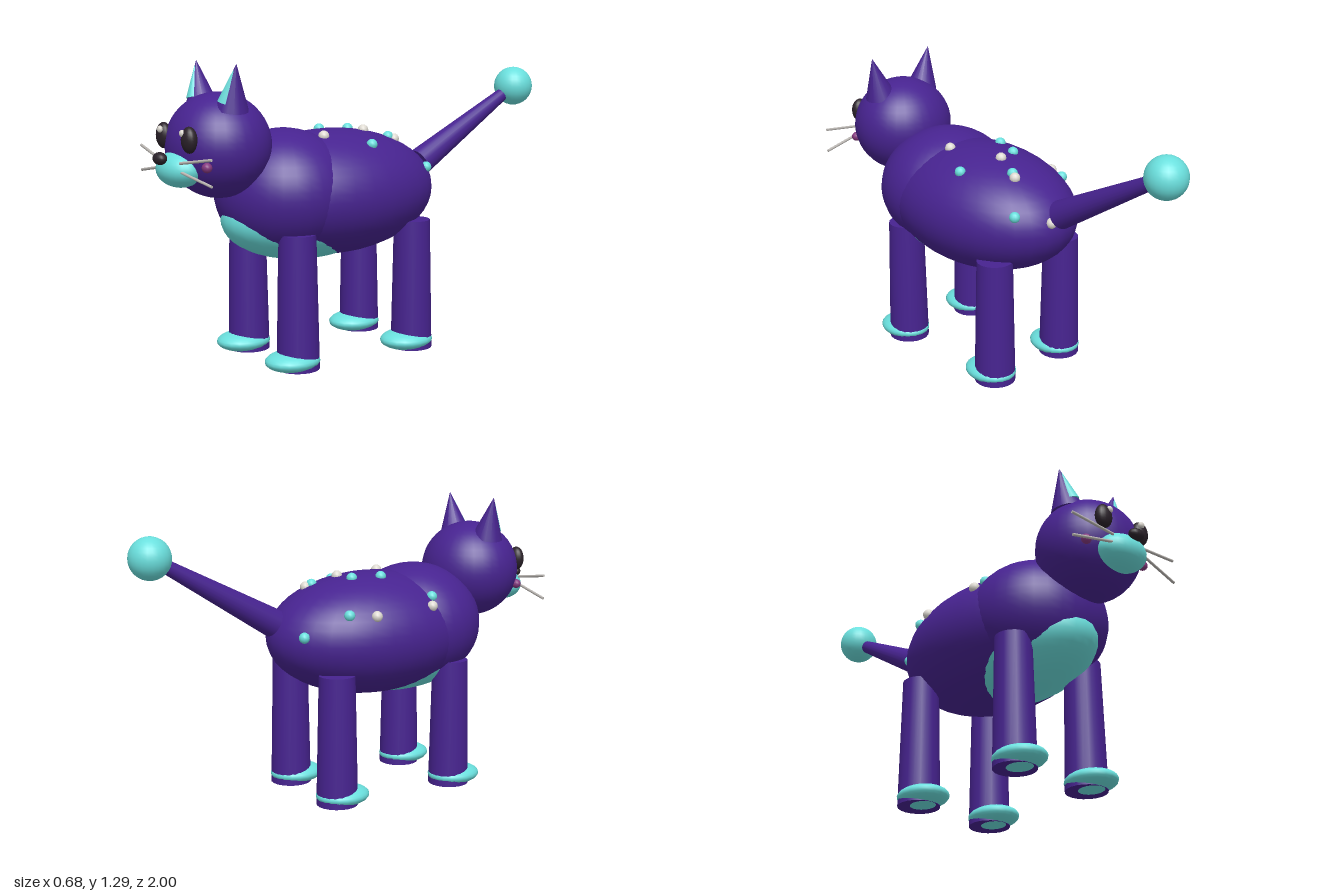
import * as THREE from 'three';

const mat = (name, color) => {
  const m = new THREE.MeshStandardMaterial({ color });
  m.name = name;
  return m;
};

export function createModel() {
  const root = new THREE.Group();
  root.name = 'cat';
  const purple = mat('purple fur', 0x472390);
  const teal = mat('teal', 0x6adfdd);
  const black = mat('black', 0x2a2129);
  const white = mat('white', 0xdedad2);
  const grey = mat('whisker grey', 0xbdb9b5);
  const pink = mat('cheek pink', 0x85387f);

  const add = (name, geo, material, parent = root) => {
    const m = new THREE.Mesh(geo, material);
    m.name = name;
    parent.add(m);
    return m;
  };
  // Ellipsoid from centre and radii
  const ball = (name, material, [x, y, z], [rx, ry, rz], w = 24, h = 16) => {
    const m = add(name, new THREE.SphereGeometry(1, w, h), material);
    m.position.set(x, y, z);
    m.scale.set(rx, ry, rz);
    return m;
  };
  // Tapered rod between two points
  const up = new THREE.Vector3(0, 1, 0);
  const rod = (name, material, from, to, r0, r1, sides = 16) => {
    const a = new THREE.Vector3(...from), b = new THREE.Vector3(...to);
    const d = b.clone().sub(a);
    const m = add(name, new THREE.CylinderGeometry(r1, r0, d.length(), sides), material);
    m.position.copy(a).add(b).multiplyScalar(0.5);
    m.quaternion.setFromUnitVectors(up, d.normalize());
    return m;
  };

  // Trunk
  const bodyC = [0, 0.71, 0.15], bodyR = [0.34, 0.272, 0.5];
  ball('body', purple, bodyC, bodyR, 32, 24);
  ball('chest', purple, [0, 0.73, 0.39], [0.31, 0.27, 0.295], 32, 24);
  ball('belly', teal, [0, 0.62, 0.28], [0.255, 0.19, 0.396], 32, 24);

  // Head, muzzle and nose
  ball('head', purple, [0, 0.95, 0.705], [0.23, 0.218, 0.217], 32, 24);
  ball('muzzle', teal, [0, 0.865, 0.885], [0.12, 0.075, 0.09]);
  ball('nose', black, [0, 0.914, 0.973], [0.038, 0.026, 0.027], 16, 12);

  for (const s of [1, -1]) {
    const side = s > 0 ? 'left' : 'right';
    // Face details
    ball(side + 'Eye', black, [s * 0.107, 0.993, 0.897], [0.04, 0.054, 0.031], 20, 14);
    ball(side + 'EyeGlint', white, [s * 0.094, 1.02, 0.921], [0.015, 0.015, 0.012], 12, 8);
    ball(side + 'Cheek', pink, [s * 0.166, 0.885, 0.852], [0.023, 0.021, 0.021], 12, 8);
    rod(side + 'UpperWhisker', grey, [s * 0.09, 0.901, 0.93], [s * 0.297, 0.934, 0.905], 0.006, 0.006, 8);
    rod(side + 'LowerWhisker', grey, [s * 0.09, 0.866, 0.93], [s * 0.297, 0.83, 0.905], 0.006, 0.006, 8);

    // Ear, leaning outward, with a lining leaning back into its front
    const ear = new THREE.Group();
    ear.name = side + 'Ear';
    ear.position.set(s * 0.122, 1.105, 0.71);
    ear.rotation.z = -s * 0.227;
    root.add(ear);
    add('outerEar', new THREE.ConeGeometry(0.07, 0.19, 16).translate(0, 0.095, 0), purple, ear);
    const lining = add('innerEar', new THREE.ConeGeometry(0.036, 0.14, 12).translate(0, 0.07, 0), teal, ear);
    lining.position.set(0, 0.03, 0.029);
    lining.rotation.x = -0.135;

    // Legs and paws
    for (const [end, z] of [['Front', 0.452], ['Rear', -0.148]]) {
      rod(side + end + 'Leg', purple, [s * 0.2, 0.006, z], [s * 0.2, 0.58, z], 0.091, 0.079, 20);
      ball(side + end + 'Paw', teal, [s * 0.2, 0.044, z + 0.028], [0.105, 0.044, 0.122], 20, 14);
    }
  }

  // Tail with a round tip
  rod('tail', purple, [0, 0.795, -0.345], [0, 1.09, -0.86], 0.063, 0.028, 20);
  ball('tailTip', teal, [0, 1.117, -0.91], [0.09, 0.09, 0.09]);

  // Spots seated on the back, given as x and z
  const spots = (name, material, list) => list.forEach(([x, z], i) => {
    const u = x / bodyR[0], v = (z - bodyC[2]) / bodyR[2];
    const y = bodyC[1] + bodyR[1] * Math.sqrt(Math.max(0, 1 - u * u - v * v));
    ball(name + (i + 1), material, [x, y, z], [0.024, 0.024, 0.024], 12, 8);
  });
  spots('tealSpot', teal, [[-0.16, -0.285], [-0.24, -0.11], [0.175, -0.245], [0.065, -0.115],
    [-0.06, 0.015], [0.2, 0.07], [-0.1, 0.14], [-0.235, 0.32]]);
  spots('whiteSpot', white, [[0.075, -0.14], [-0.285, 0], [0.03, -0.005], [0.1, 0.25],
    [-0.275, 0.295], [0.045, -0.335]]);

  return root;
}
